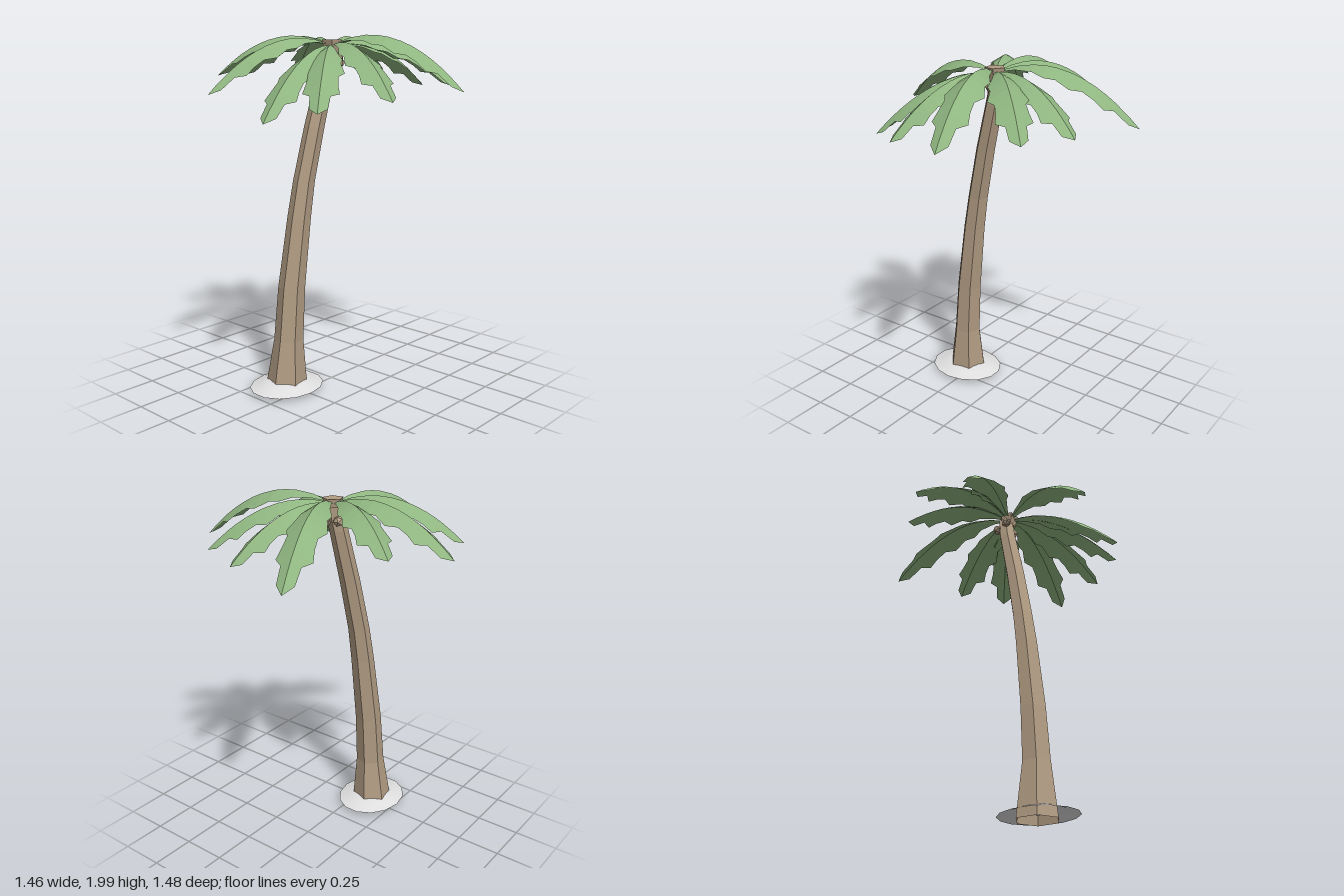
import * as THREE from 'three';

const bark = new THREE.MeshStandardMaterial({ color: 0xb19c83, flatShading: true, side: THREE.DoubleSide });
bark.name = 'bark brown';
const green = new THREE.MeshStandardMaterial({ color: 0x8fb580, flatShading: true, side: THREE.DoubleSide });
green.name = 'frond green';
const pale = new THREE.MeshStandardMaterial({ color: 0xe0e0e0, side: THREE.DoubleSide });
pale.name = 'ground pale grey';

function add(parent, geometry, material, name) {
  const mesh = new THREE.Mesh(geometry, material);
  mesh.name = name;
  parent.add(mesh);
  return mesh;
}

function buildGeometry(points, index) {
  const g = new THREE.BufferGeometry();
  g.setAttribute('position', new THREE.Float32BufferAttribute(points, 3));
  g.setIndex(index);
  g.computeVertexNormals();
  return g;
}

// Leaning six-sided trunk lofted through rings of [x, y, z, radius]
function trunkGeometry() {
  const rings = [
    [-0.282, 0, -0.095, 0.12], [-0.272, 0.3, -0.083, 0.083], [-0.25, 0.6, -0.078, 0.076],
    [-0.197, 1.0, -0.066, 0.066], [-0.163, 1.2, -0.06, 0.061], [-0.095, 1.5, -0.043, 0.057],
    [-0.015, 1.8, -0.025, 0.051], [0.015, 1.93, -0.01, 0.045],
  ];
  const n = 6, points = [], index = [];
  rings.forEach(([x, y, z, r], k) => {
    for (let i = 0; i < n; i++) {
      const a = (i * 60 - 10) * Math.PI / 180;
      points.push(x + r * Math.cos(a), y, z + r * Math.sin(a));
      if (k === rings.length - 1) continue;
      const p = k * n + i, q = k * n + (i + 1) % n;
      index.push(p, p + n, q, q, p + n, q + n);
    }
  });
  return buildGeometry(points, index);
}

// Jagged half-width of a frond along its length: [fraction, width]
const outline = [
  [0.04, 0.008], [0.15, 0.027], [0.27, 0.05], [0.36, 0.082], [0.44, 0.078], [0.54, 0.105],
  [0.62, 0.078], [0.7, 0.082], [0.77, 0.094], [0.83, 0.052], [0.93, 0.046], [1, 0],
];

// Arched frond: a spine along a curve with two halves drooping from it
function frondGeometry(x, y, z, arch) {
  const reach = Math.hypot(x, z), dx = x / reach, dz = z / reach;
  const spine = new THREE.QuadraticBezierCurve3(
    new THREE.Vector3(0, 1.94, 0), new THREE.Vector3(x / 2, arch, z / 2), new THREE.Vector3(x, y, z));
  const points = [], index = [];
  outline.forEach(([t, w], k) => {
    const c = spine.getPoint(t);
    for (const s of [1, 0, -1]) points.push(c.x - dz * w * s, c.y - 0.6 * w * Math.abs(s), c.z + dx * w * s);
    if (k === outline.length - 1) return;
    for (const p of [k * 3, k * 3 + 1]) index.push(p, p + 3, p + 1, p + 1, p + 3, p + 4);
  });
  return buildGeometry(points, index);
}

export function createModel() {
  const model = new THREE.Group();
  model.name = 'palmTree';

  add(model, trunkGeometry(), bark, 'trunk');

  // Low mound around the foot
  const profile = [[0.225, 0.025], [0.16, 0.041], [0.105, 0.06], [0, 0.063]].map(p => new THREE.Vector2(...p));
  const mound = add(model, new THREE.LatheGeometry(profile, 14), pale, 'groundMound');
  mound.position.set(-0.285, 0, -0.09);
  mound.scale.z = 0.86;

  // Fronds: tip x, y, z and arch height
  const fronds = new THREE.Group();
  fronds.name = 'fronds';
  model.add(fronds);
  const tips = [
    [0.01, 1.765, -0.74, 2.1], [0.3, 1.8, -0.55, 2.08], [0.73, 1.69, -0.26, 2.12], [0.605, 1.71, 0.18, 2.03],
    [0.48, 1.72, 0.46, 2.05], [0.195, 1.7, 0.74, 2.12], [-0.215, 1.66, 0.6, 2.02], [-0.52, 1.61, 0.38, 1.97],
    [-0.68, 1.56, 0.17, 1.95], [-0.73, 1.69, -0.18, 2.08], [-0.285, 1.77, -0.63, 2.1],
  ];
  tips.forEach((tip, i) => add(fronds, frondGeometry(...tip), green, 'frond' + (i + 1)));

  // Five-sided crown where the fronds meet
  const crown = add(model, new THREE.CylinderGeometry(0.058, 0.042, 0.07, 5), bark, 'crown');
  crown.position.set(0.002, 1.935, 0);
  crown.rotation.y = 0.1 + Math.PI / 2;

  // Nuts hanging under the crown
  [[0.035, 1.86, -0.06], [0.005, 1.87, 0.045], [-0.035, 1.885, -0.06], [0.05, 1.845, 0.015]].forEach((p, i) => {
    const nut = add(model, new THREE.IcosahedronGeometry(0.03, 0), bark, 'nut' + (i + 1));
    nut.position.set(...p);
    nut.rotation.y = i;
  });

  return model;
}
